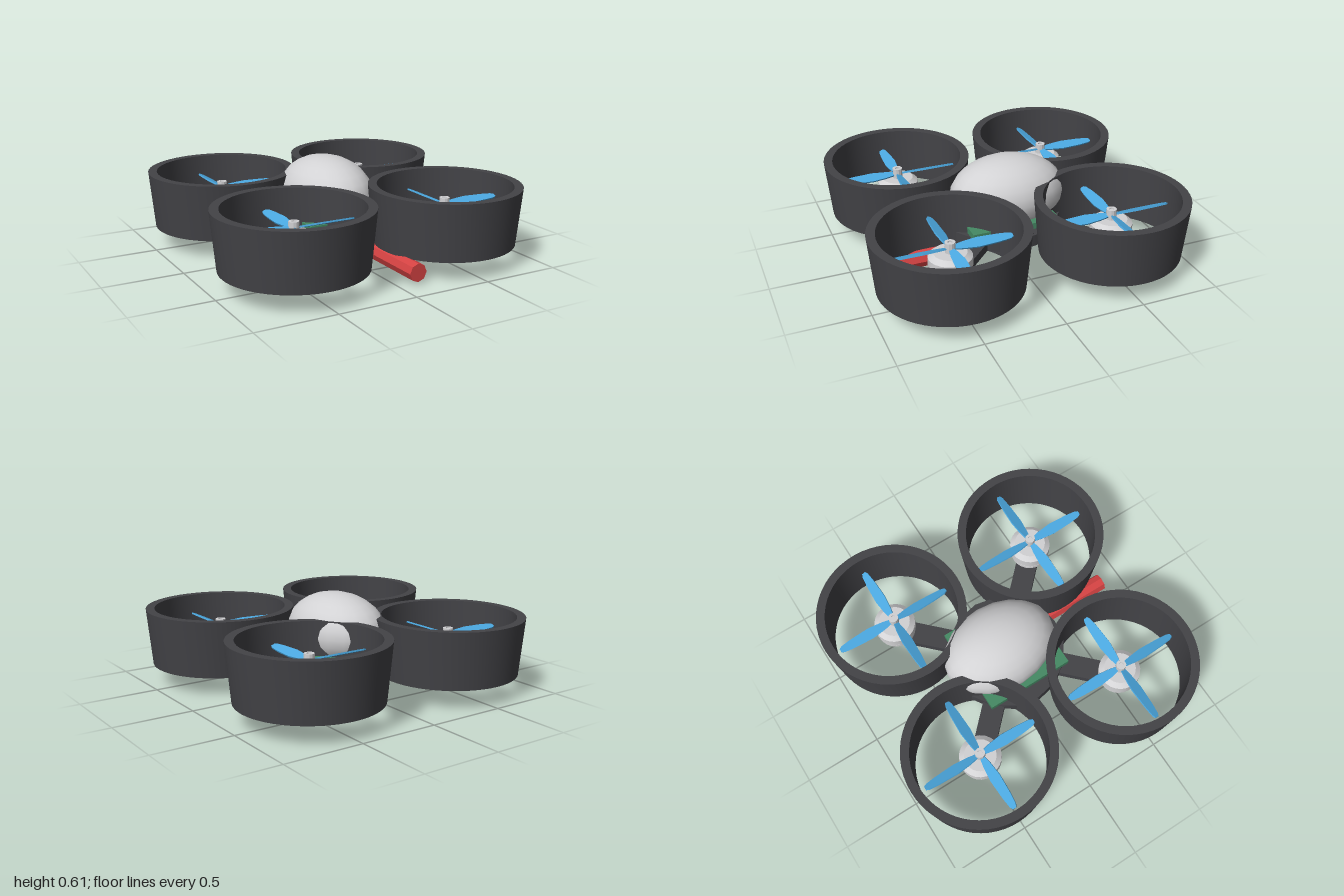
import * as THREE from 'three';
import { toCreasedNormals } from 'three/addons/utils/BufferGeometryUtils.js';

const paint = (name, color) => {
  const m = new THREE.MeshStandardMaterial({ color });
  m.name = name;
  return m;
};

export function createModel() {
  const dark = paint('charcoal', 0x434347);
  const silver = paint('silver', 0xd2d2d4);
  const green = paint('board green', 0x458a64);
  const blue = paint('propeller blue', 0x4ba8e0);
  const orange = paint('orange', 0xd0803a);
  const yellow = paint('pale yellow', 0xcec672);
  const red = paint('red', 0xd64343);

  const model = new THREE.Group();
  model.name = 'quadcopter';

  const add = (parent, name, geometry, material, x = 0, y = 0, z = 0) => {
    const mesh = new THREE.Mesh(geometry, material);
    mesh.name = name;
    mesh.position.set(x, y, z);
    parent.add(mesh);
    return mesh;
  };
  // Box given by its lower and upper corners
  const box = (name, material, [x0, y0, z0], [x1, y1, z1]) =>
    add(model, name, new THREE.BoxGeometry(x1 - x0, y1 - y0, z1 - z0), material,
      (x0 + x1) / 2, (y0 + y1) / 2, (z0 + z1) / 2);
  // Turned part from [radius, y] pairs, listed upwards along the outside
  const turned = (points, segments) => toCreasedNormals(
    new THREE.LatheGeometry(points.map(([r, y]) => new THREE.Vector2(r, y)), segments), 0.5);

  // Body: base plate, circuit board and dome
  add(model, 'basePlate', new THREE.CylinderGeometry(0.38, 0.38, 0.075, 16).toNonIndexed(), dark, 0, 0.183, 0);
  box('circuitBoard', green, [-0.29, 0.22, -0.29], [0.29, 0.262, 0.29]);
  const dome = add(model, 'dome', new THREE.SphereGeometry(1, 20, 14), silver, 0, 0.37, -0.05);
  dome.scale.set(0.277, 0.235, 0.378);

  // Shared rotor geometry
  const ductGeo = turned(
    [[0.442, 0.12], [0.475, 0.48], [0.42, 0.48], [0.415, 0.12], [0.442, 0.12]], 56);
  const bellGeo = turned([[0, 0.243], [0.132, 0.243], [0.132, 0.305], [0.1, 0.33], [0, 0.33]], 24);
  const hubGeo = turned(
    [[0.032, 0.32], [0.032, 0.395], [0.015, 0.395], [0.015, 0.385], [0, 0.385]], 12);
  const bladeShape = new THREE.Shape([
    [0.02, -0.014], [0.08, -0.026], [0.17, -0.036], [0.3, -0.03], [0.37, -0.022], [0.39, -0.012],
    [0.39, 0.012], [0.37, 0.022], [0.3, 0.03], [0.17, 0.036], [0.08, 0.026], [0.02, 0.014],
  ].map(([x, y]) => new THREE.Vector2(x, y)));
  const bladeGeo = new THREE.ExtrudeGeometry(bladeShape, { depth: 0.01, bevelEnabled: false });
  bladeGeo.translate(0, 0, -0.005).rotateX(-Math.PI / 2);

  // Four ducted rotors; diagonal pairs spin the same way
  for (const sx of [-1, 1]) for (const sz of [-1, 1]) {
    const rotor = new THREE.Group();
    rotor.name = (sz > 0 ? 'front' : 'rear') + (sx > 0 ? 'Left' : 'Right') + 'Rotor';
    rotor.position.set(sx * 0.522, 0, sz * 0.522);
    model.add(rotor);

    add(rotor, 'duct', ductGeo, dark);
    add(rotor, 'motorBase', new THREE.CylinderGeometry(0.125, 0.125, 0.025, 24), silver, 0, 0.21, 0);
    add(rotor, 'motorWinding', new THREE.CylinderGeometry(0.118, 0.118, 0.024, 24), orange, 0, 0.233, 0);
    add(rotor, 'motorBell', bellGeo, silver);
    add(rotor, 'propellerHub', hubGeo, silver);
    for (let i = 0; i < 4; i++) {
      const spoke = new THREE.Group();
      spoke.name = 'propellerBlade';
      spoke.position.y = 0.355;
      spoke.rotation.y = i * Math.PI / 2;
      rotor.add(spoke);
      add(spoke, 'blade', bladeGeo, blue).rotation.x = sx * sz * 0.38;
    }

    // Arm from the body to the motor
    const arm = add(model, 'arm', new THREE.BoxGeometry(0.74, 0.055, 0.14), dark,
      sx * 0.27, 0.172, sz * 0.27);
    arm.rotation.y = -Math.atan2(sz, sx);
  }

  // Underslung carrier: crossed rails, mount and side pods
  box('carrierSpine', orange, [-0.035, 0, -0.25], [0.035, 0.12, 0.25]);
  box('carrierRail', orange, [-0.09, 0.06, -0.25], [0.09, 0.09, 0.25]);
  box('carrierMount', orange, [-0.035, 0.11, -0.1], [0.035, 0.15, 0.08]);
  box('carrierTail', orange, [-0.03, 0.06, -0.31], [0.03, 0.087, -0.25]);
  box('carrierPod', yellow, [-0.095, 0.035, -0.2], [0.095, 0.117, 0.02]);

  // Eight-sided canister reaching forward
  const tube = toCreasedNormals(new THREE.CylinderGeometry(0.057, 0.057, 0.59, 8), 0.5);
  add(model, 'canister', tube.rotateX(Math.PI / 2), red, 0.117, 0.073, 0.547);

  return model;
}
